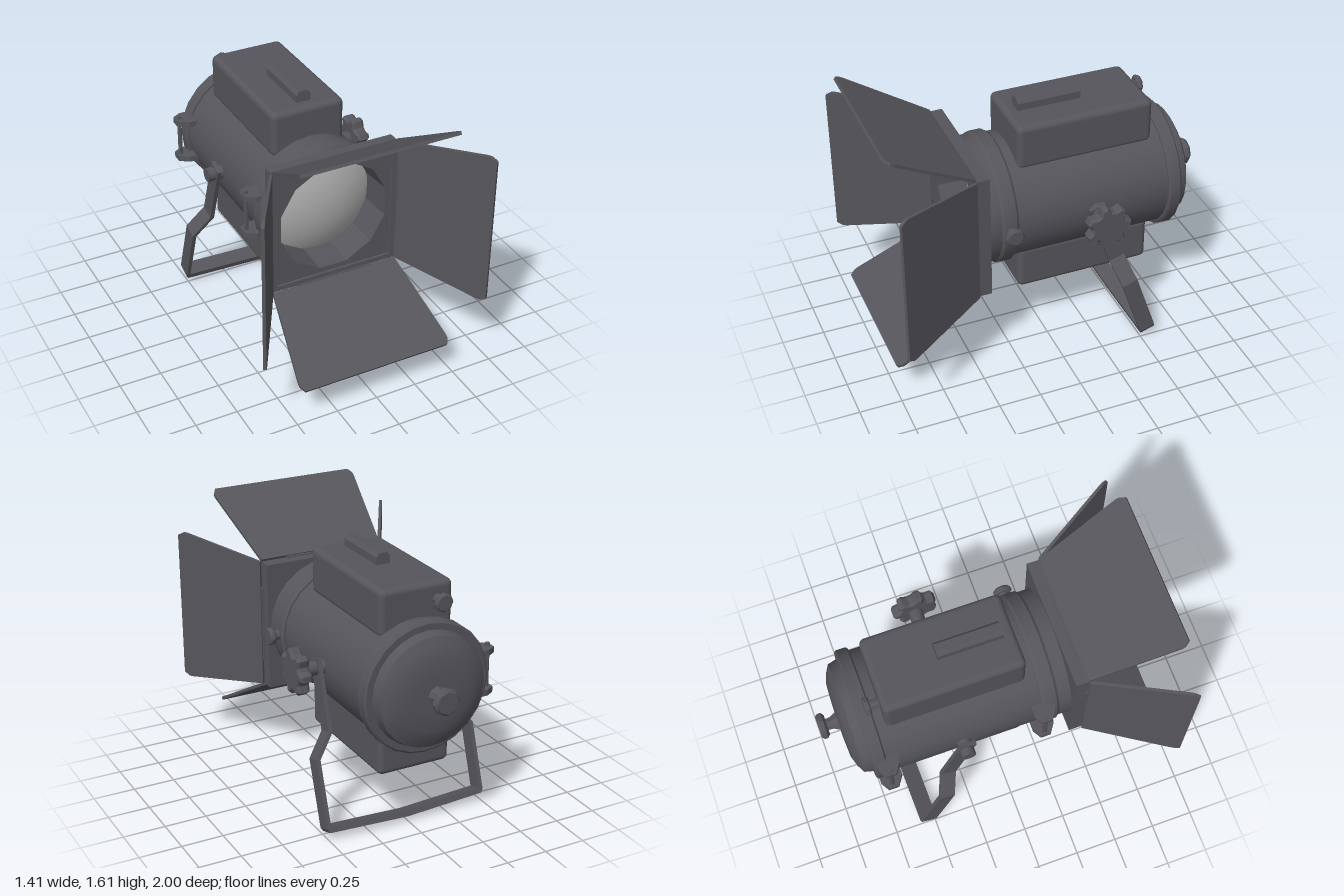
import * as THREE from 'three';
import { toCreasedNormals } from 'three/addons/utils/BufferGeometryUtils.js';
import { RoundedBoxGeometry } from 'three/addons/geometries/RoundedBoxGeometry.js';

const AXIS = 0.915; // height of the lamp's optical axis

export function createModel() {
  const model = new THREE.Group();
  model.name = 'studioLamp';
  const metal = new THREE.MeshStandardMaterial({ color: 0x55555b });
  metal.name = 'charcoal metal';
  const glass = new THREE.MeshStandardMaterial({ color: 0xaeaeae, side: THREE.DoubleSide });
  glass.name = 'pale lens';

  // Everything inside this group is placed relative to the optical axis
  const lamp = new THREE.Group();
  lamp.name = 'lamp';
  lamp.position.y = AXIS;
  model.add(lamp);

  const add = (name, geo, x = 0, y = 0, z = 0, mat = metal, parent = lamp) => {
    const mesh = new THREE.Mesh(geo, mat);
    mesh.name = name;
    mesh.position.set(x, y, z);
    parent.add(mesh);
    return mesh;
  };
  // Turned part along z from [radius, z] pairs, listed back to front
  const turned = (pts, seg = 24, crease = 0.6) => toCreasedNormals(
    new THREE.LatheGeometry(pts.map(([r, z]) => new THREE.Vector2(r, z)), seg).rotateX(Math.PI / 2), crease);
  const polygon = (pts) => new THREE.Shape(pts.map(([x, y]) => new THREE.Vector2(x, y)));
  const extrude = (shape, depth) =>
    new THREE.ExtrudeGeometry(shape, { depth, bevelEnabled: false }).translate(0, 0, -depth / 2);
  const ringPoints = (r, n, offset = 0) => Array.from({ length: n }, (_, i) => {
    const a = ((i + offset) / n) * Math.PI * 2;
    return [r * Math.cos(a), r * Math.sin(a)];
  });

  // Body, collars and domed back cap
  add('body', turned([[0.365, -0.74], [0.365, 0.25]]));
  add('frontNeck', turned([[0.375, 0.30], [0.375, 0.405]]));
  add('frontCollar', turned([[0.36, 0.225], [0.375, 0.225], [0.387, 0.24], [0.387, 0.31], [0.375, 0.325], [0.36, 0.325]]));
  add('backCollar', turned([[0.33, -0.78], [0.375, -0.78], [0.387, -0.77], [0.387, -0.71], [0.375, -0.70], [0.36, -0.70]]));
  add('backCap', turned([[0, -0.885], [0.12, -0.885], [0.22, -0.88], [0.28, -0.86], [0.325, -0.835], [0.34, -0.775]]));
  add('backKnob', turned([[0, -1], [0.065, -1], [0.08, -0.985], [0.08, -0.965], [0.06, -0.95],
    [0.035, -0.95], [0.037, -0.92], [0.06, -0.88]], 8));

  // Square front frame with a faceted opening and a raised rim
  const frame = polygon([[-0.39, -0.39], [0.39, -0.39], [0.39, 0.39], [-0.39, 0.39]]);
  frame.holes.push(new THREE.Path(ringPoints(0.34, 12, 0.5).map(([x, y]) => new THREE.Vector2(x, y))));
  add('frontFrame', extrude(frame, 0.065), 0, 0, 0.4325);
  for (const s of [-1, 1]) {
    add('frameRim', new THREE.BoxGeometry(0.78, 0.03, 0.02), 0, s * 0.375, 0.47);
    add('frameRim', new THREE.BoxGeometry(0.03, 0.72, 0.02), s * 0.375, 0, 0.47);
  }

  // Dark inner tube, open at both ends, and the bulging lens
  const tube = new THREE.CylinderGeometry(0.34, 0.326, 0.22, 12, 1, true).rotateY(Math.PI / 12).rotateX(Math.PI / 2);
  tube.scale(-1, 1, 1); // mirrored so its faces look inward
  add('innerTube', toCreasedNormals(tube, 0.1), 0, 0, 0.34);
  const lens = new THREE.SphereGeometry(0.64, 36, 8, 0, Math.PI * 2, 0, 0.533).rotateX(Math.PI / 2);
  add('lens', lens, 0, 0, -0.28, glass);

  // Four barn doors, each hinged on one side of the frame
  const door = extrude(polygon([[-0.39, 0], [0.39, 0], [0.47, 0.54], [0.47, 0.565], [0.45, 0.6],
    [-0.45, 0.6], [-0.47, 0.565], [-0.47, 0.54]]), 0.018);
  ['top', 'left', 'bottom', 'right'].forEach((side, i) => {
    const holder = new THREE.Group();
    holder.name = side + 'BarnDoor';
    holder.rotation.z = -i * Math.PI / 2;
    lamp.add(holder);
    add('doorPanel', door, 0, 0.395, 0.48, metal, holder).rotation.x = Math.PI / 3;
    add('doorHinge', new THREE.BoxGeometry(0.46, 0.012, 0.03), 0, 0.392, 0.475, metal, holder);
  });

  // Vent housings above and below, with a grip on the upper one
  add('topHousing', new RoundedBoxGeometry(0.45, 0.275, 0.82, 3, 0.035), -0.005, 0.412, -0.24);
  add('bottomHousing', new RoundedBoxGeometry(0.45, 0.275, 0.82, 3, 0.035), -0.005, -0.41, -0.24);
  add('topGrip', extrude(polygon([[-0.043, 0], [0.043, 0], [0.043, 0.05], [0.025, 0.073],
    [-0.025, 0.073], [-0.043, 0.05]]), 0.38), -0.003, 0.543, -0.09);

  // Small turned knob pointing along +z
  const smallKnob = turned([[0.03, 0], [0.03, 0.05], [0.045, 0.05], [0.055, 0.06], [0.055, 0.075], [0.045, 0.085], [0, 0.085]], 8);
  add('collarKnob', smallKnob, 0.368, 0, 0.275).rotation.y = Math.PI / 2;
  add('housingKnob', smallKnob, -0.13, 0.45, -0.65).rotation.y = Math.PI;

  // Tilting yoke: a bent strip swung backwards around the pivot
  const half = [[0.41, 0.05], [0.41, -0.36], [0.51, -0.5], [0.51, -0.9], [0.497, -0.922]];
  const inner = [[0.385, 0.05], [0.385, -0.365], [0.486, -0.506], [0.486, -0.888]];
  const flip = (pts) => pts.map(([x, y]) => [-x, y]).reverse();
  const yoke = polygon([...half, [0, -0.945], ...flip(half), ...inner.map(([x, y]) => [-x, y]),
    [0, -0.908], ...[...inner].reverse()]);
  add('yoke', extrude(yoke, 0.095), 0, 0, -0.25).rotation.x = 0.328;

  // Pivot pins and the star-shaped tilt knob
  const pin = (name, x, length) =>
    add(name, toCreasedNormals(new THREE.CylinderGeometry(0.042, 0.042, length, 12).rotateZ(Math.PI / 2), 0.6), x, 0, -0.25);
  pin('rightPivotPin', -0.405, 0.1);
  pin('leftPivotPin', 0.42, 0.14);
  const star = [];
  for (let i = 0; i < 7; i++) {
    for (const [r, d] of [[0.13, -0.12], [0.13, 0.12], [0.098, 0.36], [0.098, 0.64]]) {
      const a = ((i + d) / 7) * Math.PI * 2;
      star.push([r * Math.cos(a), r * Math.sin(a)]);
    }
  }
  const starKnob = new THREE.ExtrudeGeometry(polygon(star),
    { depth: 0.045, bevelEnabled: true, bevelSize: 0.01, bevelThickness: 0.015, bevelOffset: -0.005, bevelSegments: 1 });
  add('starKnob', starKnob, 0.5, 0, -0.245).rotation.y = Math.PI / 2;

  // Side hinges on the collars: two brackets joined by an upright rod
  const bracket = extrude(polygon([[-0.33, -0.06], [-0.40, -0.06], [-0.45, -0.03], [-0.45, 0.03],
    [-0.42, 0.05], [-0.39, 0.07], [-0.33, 0.07]]), 0.035).rotateX(Math.PI / 2);
  for (const [name, z] of [['frontHinge', 0.22], ['backHinge', -0.705]]) {
    const hinge = new THREE.Group();
    hinge.name = name;
    hinge.position.z = z;
    lamp.add(hinge);
    for (const y of [-0.12, 0.12]) add('hingeBracket', bracket, 0, y, 0, metal, hinge);
    add('hingeRod', toCreasedNormals(new THREE.CylinderGeometry(0.014, 0.014, 0.31, 8), 0.9), -0.425, 0, 0, metal, hinge);
  }

  return model;
}
